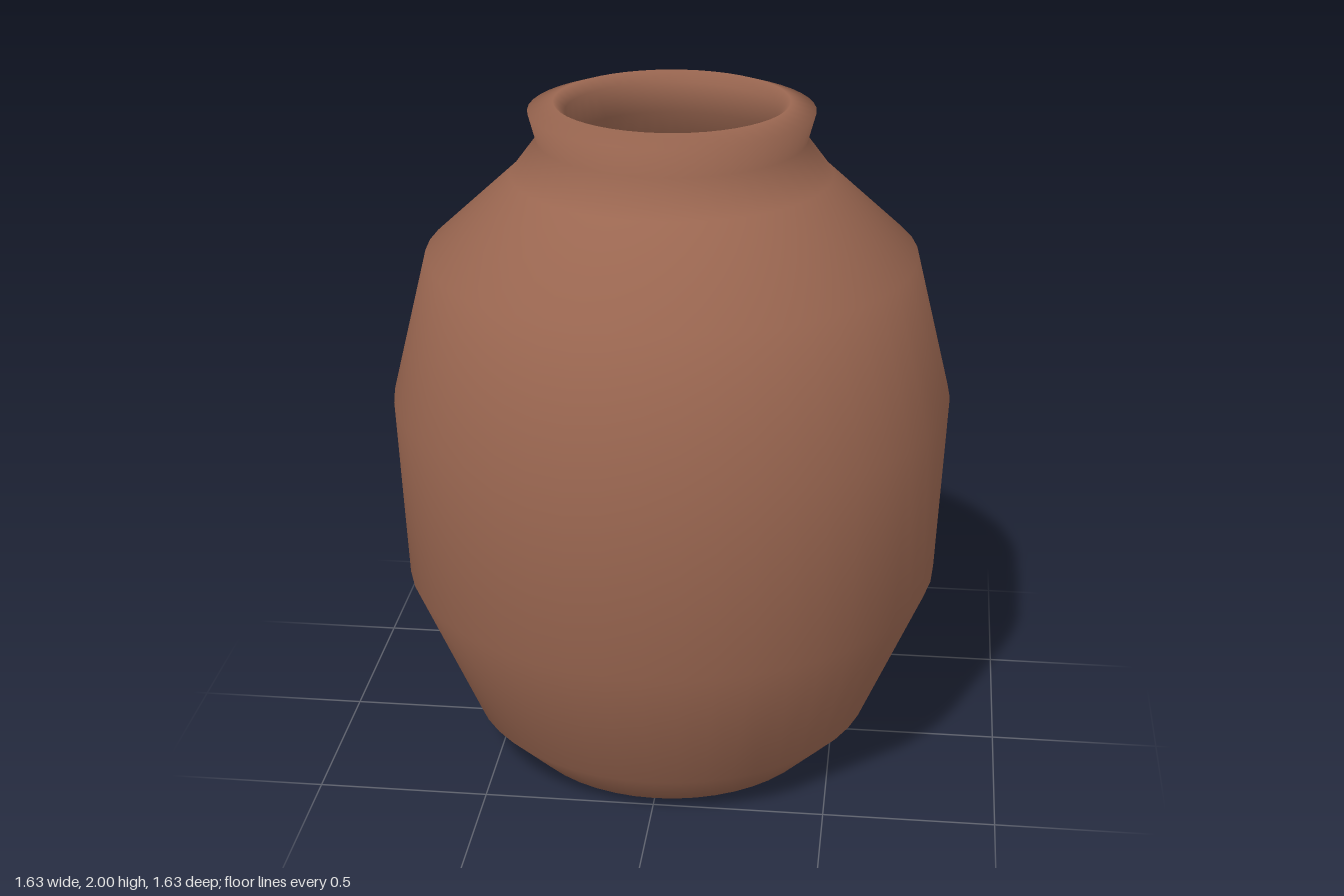
import * as THREE from 'three';

// Lathe a list of [radius, height] pairs into a smooth round surface.
function turned(name, profile, material) {
  const points = profile.map(([r, y]) => new THREE.Vector2(r, y));
  const mesh = new THREE.Mesh(new THREE.LatheGeometry(points, 48), material);
  mesh.name = name;
  return mesh;
}

export function createModel() {
  const group = new THREE.Group();
  group.name = 'clayJar';
  const clay = new THREE.MeshStandardMaterial({ color: 0x9b6751 });
  clay.name = 'terracotta';

  // One continuous wall: base, belly, shoulder, neck, lip, then the hollow inside.
  group.add(turned('jarBody', [
    [0, 0], [0.465, 0], [0.605, 0.14], [0.792, 0.58], [0.817, 1.13],
    [0.71, 1.56], [0.46, 1.79], [0.385, 1.89],
    [0.408, 1.975], [0.335, 2.0], [0.303, 1.97],
    [0.305, 1.88], [0.4, 1.74], [0.64, 1.52], [0.745, 1.12],
    [0.72, 0.6], [0.54, 0.18], [0.43, 0.07], [0, 0.07],
  ], clay));

  return group;
}
